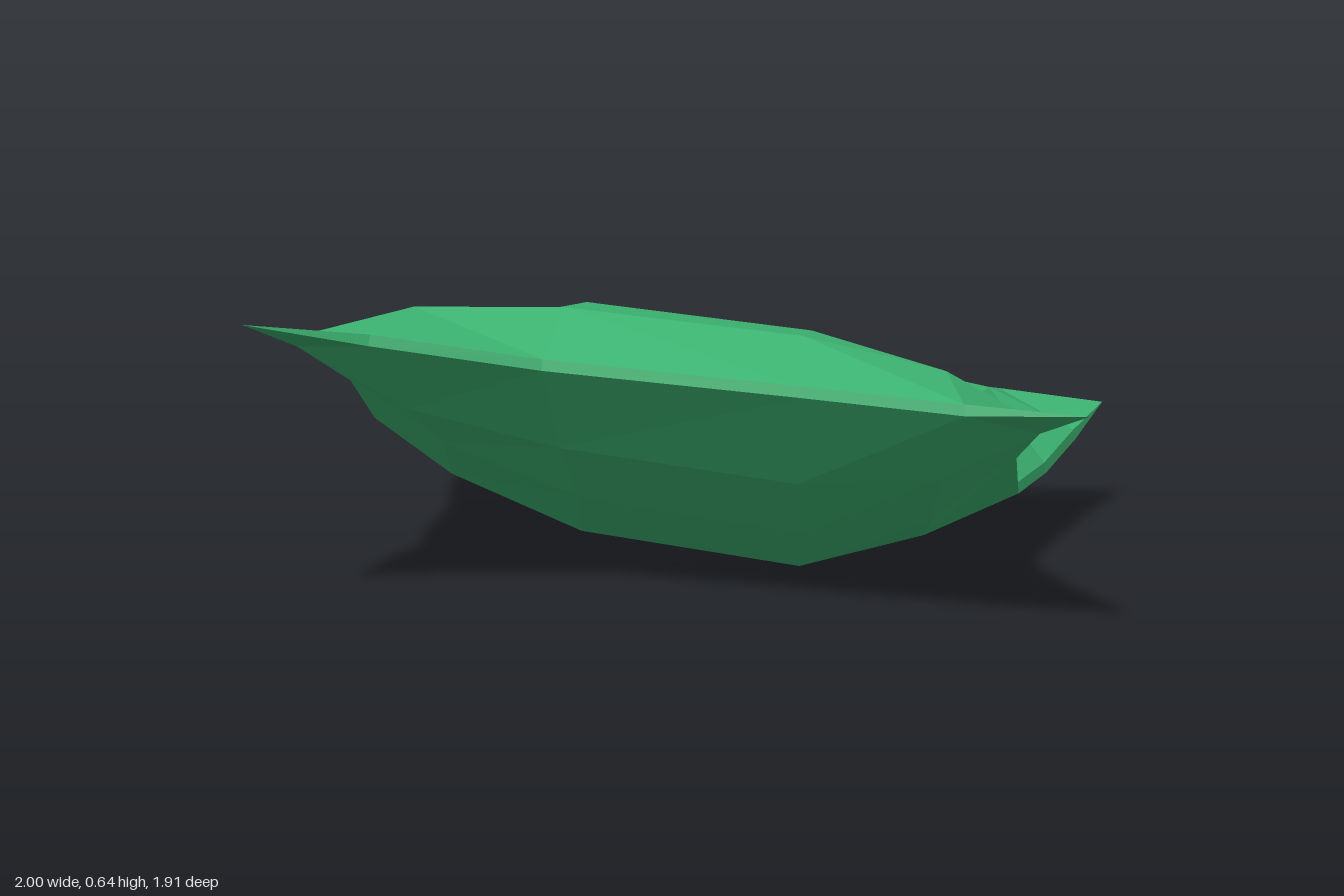
import * as THREE from 'three';

const NU = 5, NV = 6; // panels across (x) and along (z)

// Rim curves of the cushion, [x, y, z]; back/front run left to right, the sides run back to front
const back = [[-0.71, 0.38, -0.96], [-0.5, 0.36, -0.81], [-0.16, 0.325, -0.68], [0.4, 0.3, -0.6], [0.74, 0.285, -0.6], [0.995, 0.262, -0.59]];
const front = [[-1, 0.64, 0.615], [-0.74, 0.595, 0.54], [-0.38, 0.535, 0.51], [0.15, 0.507, 0.72], [0.47, 0.49, 0.86], [0.71, 0.49, 0.955]];
const sideA = [back[0], [-0.71, 0.335, -0.7], [-0.71, 0.325, -0.4], [-0.76, 0.33, -0.12], [-0.8, 0.455, 0.12], [-0.9, 0.565, 0.34], front[0]];
const sideB = [back[5], [0.89, 0.22, -0.37], [0.78, 0.19, -0.1], [0.68, 0.193, 0.16], [0.64, 0.318, 0.4], [0.65, 0.417, 0.66], front[5]];

// Padded skins, rows from back to front: inner heights, and how far each row slides in [x, z]
const upperSkin = {
  heights: [
    [0.41, 0.445, 0.41, 0.34],
    [0.475, 0.515, 0.46, 0.345],
    [0.495, 0.515, 0.46, 0.345],
    [0.565, 0.62, 0.575, 0.47],
    [0.635, 0.63, 0.59, 0.53],
  ],
  slide: [[0.025, 0.035], [0.03, 0.025], [0.03, 0.035], [0.03, 0.04], [0.025, 0.02]],
  rimOffset: 0.012,
  spread: 1,
};
const lowerSkin = {
  heights: [
    [0.25, 0.15, 0.09, 0.13],
    [0.21, 0.065, 0, 0.07],
    [0.19, 0.06, 0, 0.08],
    [0.31, 0.185, 0.13, 0.17],
    [0.42, 0.33, 0.28, 0.31],
  ],
  slide: [[0, -0.02], [0, -0.03], [-0.01, 0], [0.01, 0.06], [0.01, 0.07]],
  rimOffset: -0.012,
  spread: 1.006,
};

// Blends the four rim curves across the inside of the outline
function blend(i, j, k) {
  const u = i / NU, v = j / NV, mix = THREE.MathUtils.lerp;
  return mix(sideA[j][k], sideB[j][k], u) + mix(back[i][k], front[i][k], v)
    - mix(mix(back[0][k], back[NU][k], u), mix(front[0][k], front[NU][k], u), v);
}

function skinPoint({ heights, slide, rimOffset, spread }, i, j) {
  const endU = i === 0 || i === NU, endV = j === 0 || j === NV;
  const x = blend(i, j, 0), z = blend(i, j, 2);
  if (endU && endV) return [x, blend(i, j, 1), z];
  if (endU || endV) return [x * spread, blend(i, j, 1) + rimOffset, z * spread];
  const [dx, dz] = slide[j - 1];
  return [x + dx, heights[j - 1][i - 1], z + dz];
}

function facetedMesh(name, triangles, material) {
  const geometry = new THREE.BufferGeometry();
  geometry.setAttribute('position', new THREE.Float32BufferAttribute(triangles.flat(2), 3));
  geometry.computeVertexNormals();
  const mesh = new THREE.Mesh(geometry, material);
  mesh.name = name;
  return mesh;
}

// One skin of quads, all split the same way except the front corner panel
function skinTriangles(skin, flip) {
  const triangles = [];
  for (let j = 0; j < NV; j++) {
    for (let i = 0; i < NU; i++) {
      const a = skinPoint(skin, i, j), b = skinPoint(skin, i, j + 1);
      const c = skinPoint(skin, i + 1, j + 1), d = skinPoint(skin, i + 1, j);
      const cornerPanel = i === NU - 1 && j === NV - 1;
      const pair = cornerPanel ? [[a, b, d], [b, c, d]] : [[a, b, c], [a, c, d]];
      for (const t of pair) triangles.push(flip ? t.reverse() : t);
    }
  }
  return triangles;
}

// Narrow seam joining the two skins round the outline
function seamTriangles() {
  const path = [];
  for (let i = 0; i < NU; i++) path.push([i, NV]);
  for (let j = NV; j > 0; j--) path.push([NU, j]);
  for (let i = NU; i > 0; i--) path.push([i, 0]);
  for (let j = 0; j < NV; j++) path.push([0, j]);
  const triangles = [];
  path.forEach((p, n) => {
    const q = path[(n + 1) % path.length];
    const a = skinPoint(lowerSkin, ...p), b = skinPoint(lowerSkin, ...q);
    const c = skinPoint(upperSkin, ...q), d = skinPoint(upperSkin, ...p);
    triangles.push([a, b, c], [a, c, d]);
  });
  return triangles;
}

export function createModel() {
  const group = new THREE.Group();
  group.name = 'cushion';
  const green = new THREE.MeshStandardMaterial({ color: 0x3cb371, flatShading: true });
  green.name = 'green fabric';
  group.add(
    facetedMesh('upperSkin', skinTriangles(upperSkin, false), green),
    facetedMesh('lowerSkin', skinTriangles(lowerSkin, true), green),
    facetedMesh('seam', seamTriangles(), green),
  );
  return group;
}
